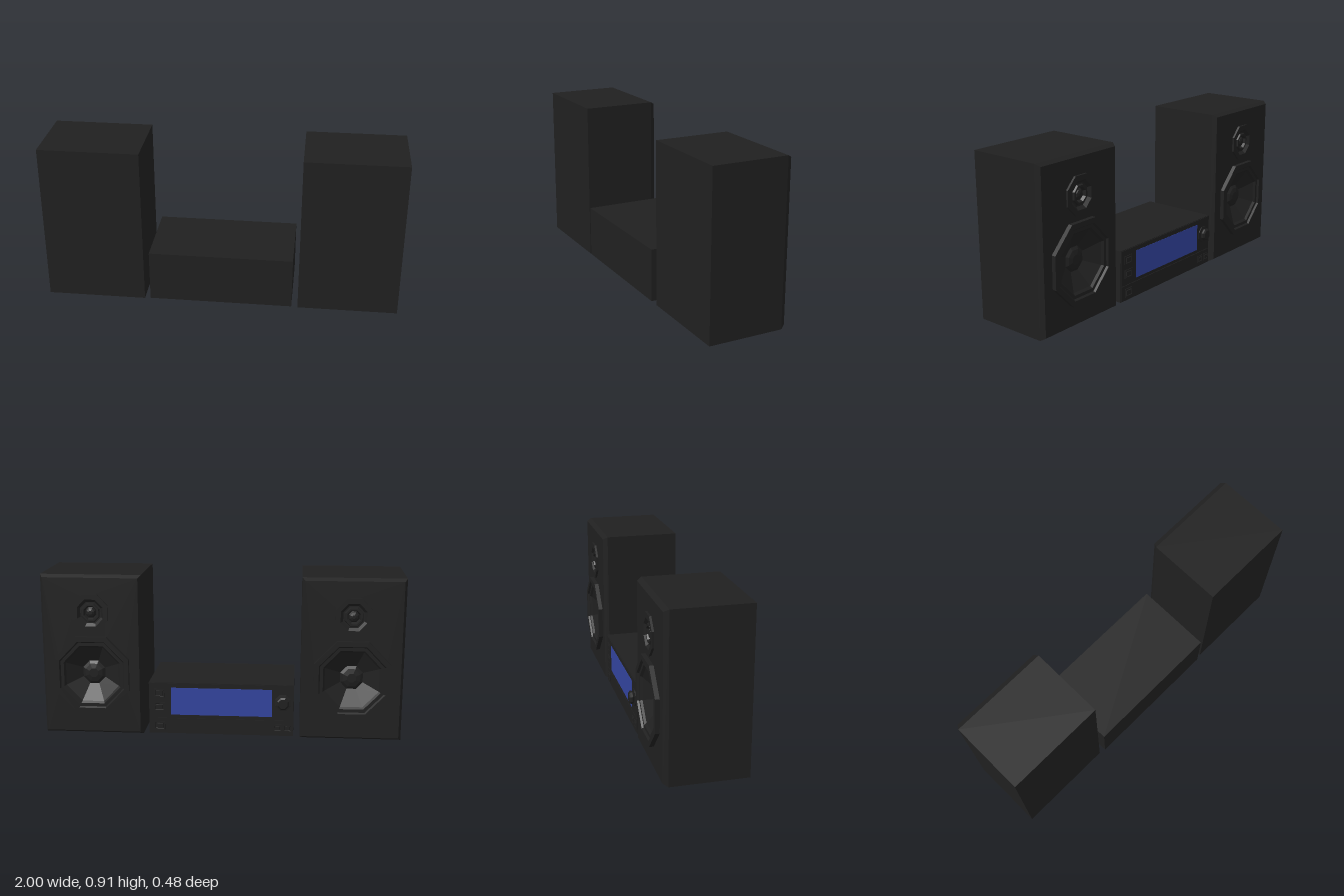
import * as THREE from 'three';

const black = new THREE.MeshStandardMaterial({ color: 0x202020, flatShading: true });
const blue = new THREE.MeshStandardMaterial({ color: 0x3344a0 });

// Skin between equal-length loops of points, running towards -z; optional end caps
function loft(loops, capStart, capEnd) {
  const pos = [];
  const tri = (a, b, c) => pos.push(...a, ...b, ...c);
  const n = loops[0].length;
  for (let k = 0; k < loops.length - 1; k++) {
    for (let i = 0; i < n; i++) {
      const j = (i + 1) % n;
      const a = loops[k][i], b = loops[k][j], c = loops[k + 1][j], d = loops[k + 1][i];
      tri(a, d, c);
      tri(a, c, b);
    }
  }
  const first = loops[0], last = loops[loops.length - 1];
  for (let i = 1; i < n - 1; i++) {
    if (capStart) tri(first[0], first[i], first[i + 1]);
    if (capEnd) tri(last[0], last[i + 1], last[i]);
  }
  const geo = new THREE.BufferGeometry();
  geo.setAttribute('position', new THREE.Float32BufferAttribute(pos, 3));
  geo.computeVertexNormals();
  return geo;
}

// Flat-topped octagon, slightly taller than wide; r is half its height
function octagon(r, z, cy) {
  const R = r / Math.cos(Math.PI / 8);
  return Array.from({ length: 8 }, (_, i) => {
    const a = (i + 0.5) * Math.PI / 4;
    return [R * Math.cos(a) * 0.957, cy + R * Math.sin(a), z];
  });
}

const rect = (w, y0, y1, z) => [[-w, y0, z], [w, y0, z], [w, y1, z], [-w, y1, z]];

function add(parent, name, geo, x = 0, y = 0, z = 0, mat = black) {
  const mesh = new THREE.Mesh(geo, mat);
  mesh.name = name;
  mesh.position.set(x, y, z);
  parent.add(mesh);
  return mesh;
}

// Driver profiles: [half height, z] from the outer wall to the centre
const drivers = [
  { name: 'woofer', y: 0.347, hole: 0.18, profile: [
    [0.2175, -0.213], [0.2175, -0.24], [0.19, -0.24], [0.183, -0.229], [0.165, -0.229],
    [0.155, -0.217], [0.065, -0.165], [0.05, -0.176], [0.025, -0.182]] },
  { name: 'tweeter', y: 0.698, hole: 0.07, profile: [
    [0.1025, -0.213], [0.1025, -0.228], [0.075, -0.228], [0.06, -0.212], [0.052, -0.212],
    [0.048, -0.222], [0.038, -0.222], [0.03, -0.205], [0.022, -0.215], [0.01, -0.22]] },
];

function speaker(name, x) {
  const g = new THREE.Group();
  g.name = name;
  g.position.x = x;
  // Cabinet with chamfered edges around the baffle
  add(g, 'cabinet', loft([
    rect(0.28, 0, 0.907, 0.23), rect(0.28, 0, 0.907, -0.19), rect(0.265, 0.015, 0.892, -0.216),
  ], true, false));
  // Baffle with driver openings
  const toV2 = pts => pts.map(p => new THREE.Vector2(p[0], p[1]));
  const shape = new THREE.Shape(toV2(rect(0.265, 0.015, 0.892, 0)));
  for (const d of drivers) shape.holes.push(new THREE.Path(toV2(octagon(d.hole + 0.015, 0, d.y))));
  add(g, 'baffle', new THREE.ShapeGeometry(shape), 0, 0, -0.216).rotation.y = Math.PI;
  // Octagonal drivers
  for (const d of drivers) {
    add(g, d.name, loft(d.profile.map(([r, z]) => octagon(r, z, d.y)), false, true));
  }
  return g;
}

// Rectangular button with a raised frame around its cap
function button(parent, x, y, w, h) {
  const g = new THREE.Group();
  g.name = 'button';
  g.position.set(x, y, -0.21);
  const grow = (s, z) => rect(w / 2 - s, -h / 2 + s, h / 2 - s, z);
  add(g, 'buttonFrame', loft([
    grow(0, 0.002), grow(0, -0.004), grow(0.006, -0.004), grow(0.008, -0.001),
    grow(0.01, -0.001), grow(0.012, -0.005),
  ], false, true));
  parent.add(g);
}

function receiver() {
  const g = new THREE.Group();
  g.name = 'receiver';
  // Casing, with a thin seam between the display panel and the lower strip
  add(g, 'casing', new THREE.BoxGeometry(0.81, 0.295, 0.446), 0, 0.1575, 0.017);
  add(g, 'displayPanel', new THREE.BoxGeometry(0.805, 0.199, 0.006), 0, 0.203, -0.207);
  add(g, 'lowerStrip', new THREE.BoxGeometry(0.805, 0.086, 0.006), 0, 0.056, -0.207);
  add(g, 'screen', new THREE.BoxGeometry(0.565, 0.157, 0.004), -0.002, 0.199, -0.2095, blue);
  // Buttons
  for (const y of [0.245, 0.165, 0.056]) button(g, 0.345, y, 0.06, 0.048);
  for (const x of [-0.317, -0.373]) button(g, x, 0.056, 0.046, 0.042);
  // Volume knob on a flared collar
  const knob = new THREE.Group();
  knob.name = 'volumeKnob';
  knob.position.set(-0.346, 0.205, -0.21);
  add(knob, 'knob', loft([
    octagon(0.046, 0.002, 0), octagon(0.046, -0.004, 0), octagon(0.028, -0.006, 0),
    octagon(0.034, -0.014, 0), octagon(0.034, -0.024, 0), octagon(0.026, -0.031, 0),
  ], false, true));
  g.add(knob);
  return g;
}

export function createModel() {
  const model = new THREE.Group();
  model.name = 'stereoSystem';
  model.add(speaker('leftSpeaker', 0.72), speaker('rightSpeaker', -0.72), receiver());
  return model;
}
